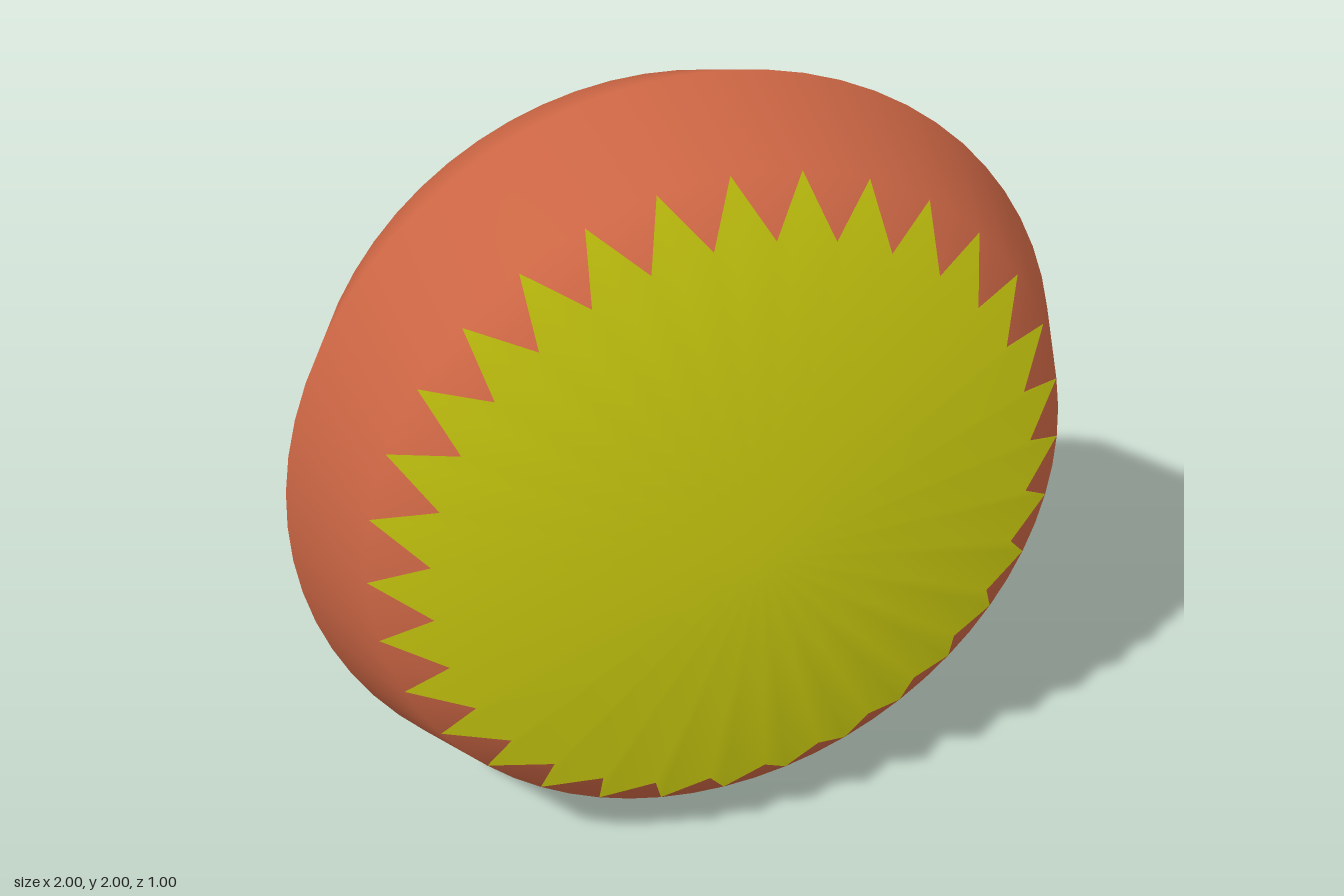
import * as THREE from 'three';

const N = 64; // 32 points and 32 notches, alternating
const CY = 1;

// position on the disc: angle step k clockwise from the top
const at = (k, r, z) => {
  const a = (k / N) * Math.PI * 2;
  return [r * Math.sin(a), CY + r * Math.cos(a), z];
};

// indexed geometry with smooth normals
function build(name, color, verts, faces) {
  const geo = new THREE.BufferGeometry();
  geo.setAttribute('position', new THREE.Float32BufferAttribute(verts.flat(), 3));
  geo.setIndex(faces.flat());
  geo.computeVertexNormals();
  const mesh = new THREE.Mesh(geo, new THREE.MeshStandardMaterial({ color }));
  mesh.name = name;
  return mesh;
}

// reverse a triangle on the back side so that it faces outward
const wind = (side, a, b, c) => (side > 0 ? [a, b, c] : [a, c, b]);

// pleated star cap: low creases run to the points, high ridges to the notches
function starCap(side) {
  const verts = [[0, CY, 0.5 * side]], faces = [];
  for (let k = 0; k < N; k++) {
    verts.push(k % 2 ? at(k, 0.755, 0.375 * side) : at(k, 0.88, 0.28 * side));
    faces.push(wind(side, 0, 1 + ((k + 1) % N), 1 + k));
  }
  return build(side > 0 ? 'frontStarCap' : 'backStarCap', 0xcccc10, verts, faces);
}

// outer band: rim circle, a shoulder ring on each side, and teeth filling the notches
function rimBand() {
  const verts = [], faces = [];
  for (let k = 0; k < N; k++) verts.push(at(k, 1, 0));
  for (const side of [1, -1]) {
    const ring = verts.length;
    for (let k = 0; k < N; k++) verts.push(at(k, 0.88, 0.28 * side));
    for (let k = 0; k < N; k++) {
      const n = (k + 1) % N;
      faces.push(wind(side, ring + k, ring + n, n), wind(side, ring + k, n, k));
    }
    for (let k = 1; k < N; k += 2) {
      const peak = verts.push(at(k, 0.755, 0.375 * side)) - 1;
      faces.push(wind(side, peak, ring + k, ring + k - 1));
      faces.push(wind(side, peak, ring + ((k + 1) % N), ring + k));
    }
  }
  return build('rimBand', 0xcc6644, verts, faces);
}

export function createModel() {
  const group = new THREE.Group();
  group.name = 'pleatedDisc';
  const band = rimBand();
  // band triangles are listed clockwise, so check and turn them outward
  const g = band.geometry, p = g.attributes.position, idx = g.index;
  const [A, B, C] = [0, 1, 2].map(() => new THREE.Vector3());
  const centre = new THREE.Vector3(0, CY, 0);
  for (let i = 0; i < idx.count; i += 3) {
    [A, B, C].forEach((v, j) => v.fromBufferAttribute(p, idx.getX(i + j)).sub(centre));
    if (A.dot(B.clone().cross(C)) < 0) {
      const t = idx.getX(i + 1);
      idx.setX(i + 1, idx.getX(i + 2));
      idx.setX(i + 2, t);
    }
  }
  g.computeVertexNormals();
  group.add(band, starCap(1), starCap(-1));
  return group;
}
